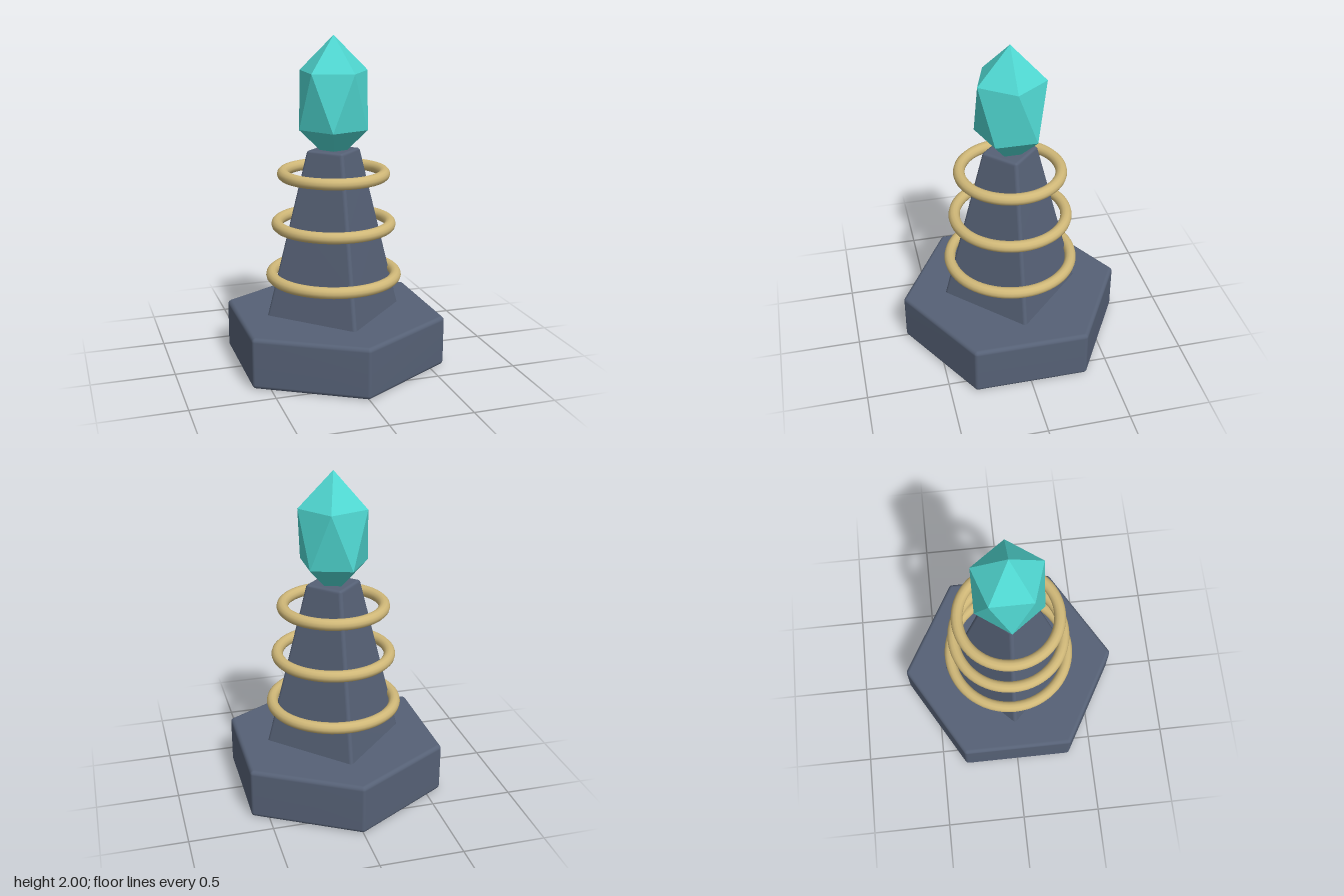
import * as THREE from 'three';
import { mergeVertices } from 'three/addons/utils/BufferGeometryUtils.js';
import { ConvexGeometry } from 'three/addons/geometries/ConvexGeometry.js';

// Rounded prism or frustum: the hull of small spheres set at its corners.
// Each level is [y, corner radius], measured to the sphere centres.
function roundedFrustum(sides, levels, r) {
  const ball = new THREE.SphereGeometry(r, 24, 8).getAttribute('position');
  const points = [];
  for (const [y, radius] of levels) {
    for (let i = 0; i < sides; i++) {
      const a = (i / sides) * Math.PI * 2;
      const corner = new THREE.Vector3(Math.sin(a) * radius, y, Math.cos(a) * radius);
      for (let k = 0; k < ball.count; k++) {
        points.push(new THREE.Vector3().fromBufferAttribute(ball, k).add(corner));
      }
    }
  }
  // Shared vertices with area-weighted normals keep the faces flat and the edges soft
  let geometry = new ConvexGeometry(points);
  geometry.deleteAttribute('normal');
  geometry = mergeVertices(geometry, 1e-5);
  geometry.computeVertexNormals();
  return geometry;
}

export function createModel() {
  const model = new THREE.Group();
  const stone = new THREE.MeshStandardMaterial({ color: 0x566176 });
  stone.name = 'slate stone';
  const gold = new THREE.MeshStandardMaterial({ color: 0xd0b878 });
  gold.name = 'pale gold';
  const teal = new THREE.MeshStandardMaterial({ color: 0x4fd6d0, flatShading: true });
  teal.name = 'teal crystal';

  const add = (name, geometry, material, y = 0) => {
    const mesh = new THREE.Mesh(geometry, material);
    mesh.name = name;
    mesh.position.y = y;
    model.add(mesh);
    return mesh;
  };

  // Hexagonal base with points to front and back
  add('base', roundedFrustum(6, [[0.025, 0.664], [0.288, 0.664]], 0.025), stone);

  // Four-sided tapering pillar, corners on the axes, foot sunk into the base
  add('pillar', roundedFrustum(4, [[0.28, 0.407], [1.303, 0.147]], 0.02), stone);

  // Floating rings, narrowing upwards
  [[0.545, 0.381], [0.866, 0.344], [1.176, 0.306]].forEach(([y, radius], i) => {
    const ring = new THREE.TorusGeometry(radius, 0.035, 12, 64).rotateX(Math.PI / 2);
    add(`ring${i + 1}`, ring, gold, y);
  });

  // Crystal: a stretched icosahedron standing on one vertex
  const crystal = new THREE.IcosahedronGeometry(0.238, 0);
  crystal.rotateZ(-Math.atan(2 / (1 + Math.sqrt(5)))).scale(1, 1.6, 1);
  crystal.computeVertexNormals();
  add('crystal', crystal, teal, 1.619);

  return model;
}
